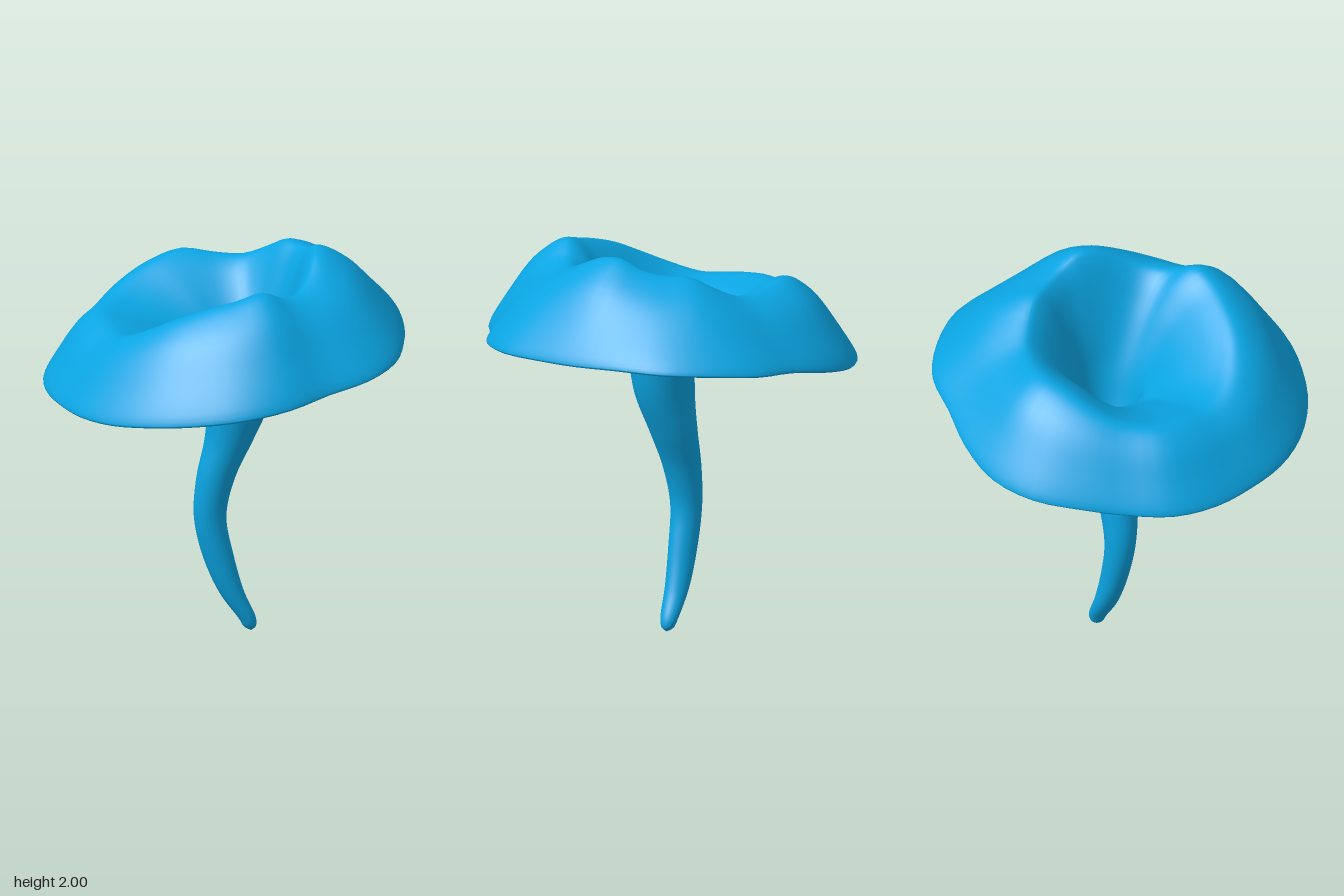
import * as THREE from 'three';

const RADIAL = 72; // steps around
const STEPS = 6;   // steps between neighbouring cross-sections

// Closed loop through [radius, height] pairs, evenly spaced from +x towards +z
function loop(pairs) {
  return new THREE.CatmullRomCurve3(pairs.map(([r, y], i) => {
    const a = (i / pairs.length) * Math.PI * 2;
    return new THREE.Vector3(r * Math.cos(a), y, r * Math.sin(a));
  }), true, 'centripetal');
}

// Outer edge of the cap, every 15 degrees
const rim = loop([
  [0.885, 1.555], [0.915, 1.535], [0.91, 1.51], [0.87, 1.48], [0.91, 1.45], [0.925, 1.415],
  [0.91, 1.38], [0.90, 1.35], [0.89, 1.32], [0.88, 1.305], [0.87, 1.30], [0.885, 1.30],
  [0.895, 1.31], [0.865, 1.32], [0.885, 1.35], [0.93, 1.375], [0.935, 1.40], [0.91, 1.45],
  [0.895, 1.505], [0.94, 1.54], [0.945, 1.57], [0.945, 1.585], [0.90, 1.585], [0.88, 1.57],
]);

// Wavy crest between the skirt and the funnel, every 15 degrees
const crest = loop([
  [0.45, 1.98], [0.46, 1.92], [0.48, 1.87], [0.50, 1.87], [0.52, 1.925], [0.52, 1.89],
  [0.52, 1.85], [0.54, 1.80], [0.56, 1.73], [0.58, 1.66], [0.58, 1.62], [0.60, 1.635],
  [0.63, 1.65], [0.61, 1.67], [0.60, 1.73], [0.58, 1.79], [0.58, 1.82], [0.54, 1.80],
  [0.51, 1.80], [0.48, 1.86], [0.46, 1.925], [0.45, 1.93], [0.45, 1.955], [0.45, 2.0],
]);

// Stem cross-sections: x, y, z, half width in x, half width in z
const stem = [
  [0.11, 0.0, -0.11, 0.002, 0.002], [0.103, 0.02, -0.11, 0.03, 0.03],
  [0.092, 0.06, -0.108, 0.042, 0.044], [0.017, 0.2, -0.085, 0.062, 0.058],
  [-0.048, 0.4, -0.06, 0.077, 0.067], [-0.083, 0.6, -0.045, 0.08, 0.077],
  [-0.055, 0.8, -0.045, 0.095, 0.095], [0.01, 1.0, -0.053, 0.12, 0.115],
  [0.06, 1.2, -0.045, 0.155, 0.137], [0.08, 1.4, -0.045, 0.175, 0.17],
];

const stemPoint = ([x, y, z, rx, rz], a, s = 1) =>
  new THREE.Vector3(x + Math.cos(a) * rx * s, y, z + Math.sin(a) * rz * s);

// Point between p and q with separate horizontal and vertical progress
const blend = (p, q, h, v) => new THREE.Vector3(
  p.x + (q.x - p.x) * h, p.y + (q.y - p.y) * v, p.z + (q.z - p.z) * h);

// Move a point towards the axis and down by the wall thickness
const inset = (p, r, d) => {
  const k = 1 - r / Math.hypot(p.x, p.z);
  return new THREE.Vector3(p.x * k, p.y - d, p.z * k);
};

const funnel = [[0.19, 0.32], [0.46, 0.66], [0.78, 0.93]];
const skirt = [[0.36, 0.18], [0.72, 0.58]];

// One meridian: up the stem, under the cap, round the rim, over the crest, down the funnel
function meridian(t) {
  const a = t * Math.PI * 2;
  const c = crest.getPoint(t), e = rim.getPoint(t);
  const cUnder = inset(c, 0, 0.03), eUnder = inset(e, 0.025, 0);
  const outer = stem.map((s) => stemPoint(s, a));
  const inner = stem.slice(6).map((s, i) => stemPoint(s, a, 0.6 + i * 0.1));
  const throat = inner[inner.length - 1];
  return [
    ...outer,
    ...funnel.map(([h, v]) => blend(outer[outer.length - 1], cUnder, h, v)),
    cUnder,
    ...skirt.map(([h, v]) => blend(cUnder, eUnder, h, v)),
    eUnder,
    inset(e, 0.01, 0.012),
    e,
    ...skirt.map(([h, v]) => blend(e, c, 1 - h, 1 - v)).reverse(),
    c,
    ...funnel.map(([h, v]) => blend(throat, c, h, v)).reverse(),
    ...inner.reverse(),
    stemPoint([-0.075, 0.68, -0.045, 0.001, 0.001], a), // floor of the hollow
  ];
}

export function createModel() {
  const positions = [], indices = [];
  let rows = 0;
  for (let i = 0; i < RADIAL; i++) {
    const pts = meridian(i / RADIAL);
    const curve = new THREE.CatmullRomCurve3(pts, false, 'centripetal');
    rows = (pts.length - 1) * STEPS + 1;
    for (let j = 0; j < rows; j++) positions.push(...curve.getPoint(j / (rows - 1)).toArray());
  }
  for (let i = 0; i < RADIAL; i++) {
    for (let j = 0; j < rows - 1; j++) {
      const a = i * rows + j, b = ((i + 1) % RADIAL) * rows + j;
      indices.push(a, a + 1, b, b, a + 1, b + 1);
    }
  }
  const geometry = new THREE.BufferGeometry();
  geometry.setAttribute('position', new THREE.Float32BufferAttribute(positions, 3));
  geometry.setIndex(indices);
  geometry.computeVertexNormals();

  const mushroom = new THREE.Mesh(geometry, new THREE.MeshStandardMaterial({ color: 0x0aa5e3 }));
  mushroom.name = 'trumpetMushroom';
  const group = new THREE.Group();
  group.name = 'mushroom';
  group.add(mushroom);
  return group;
}
